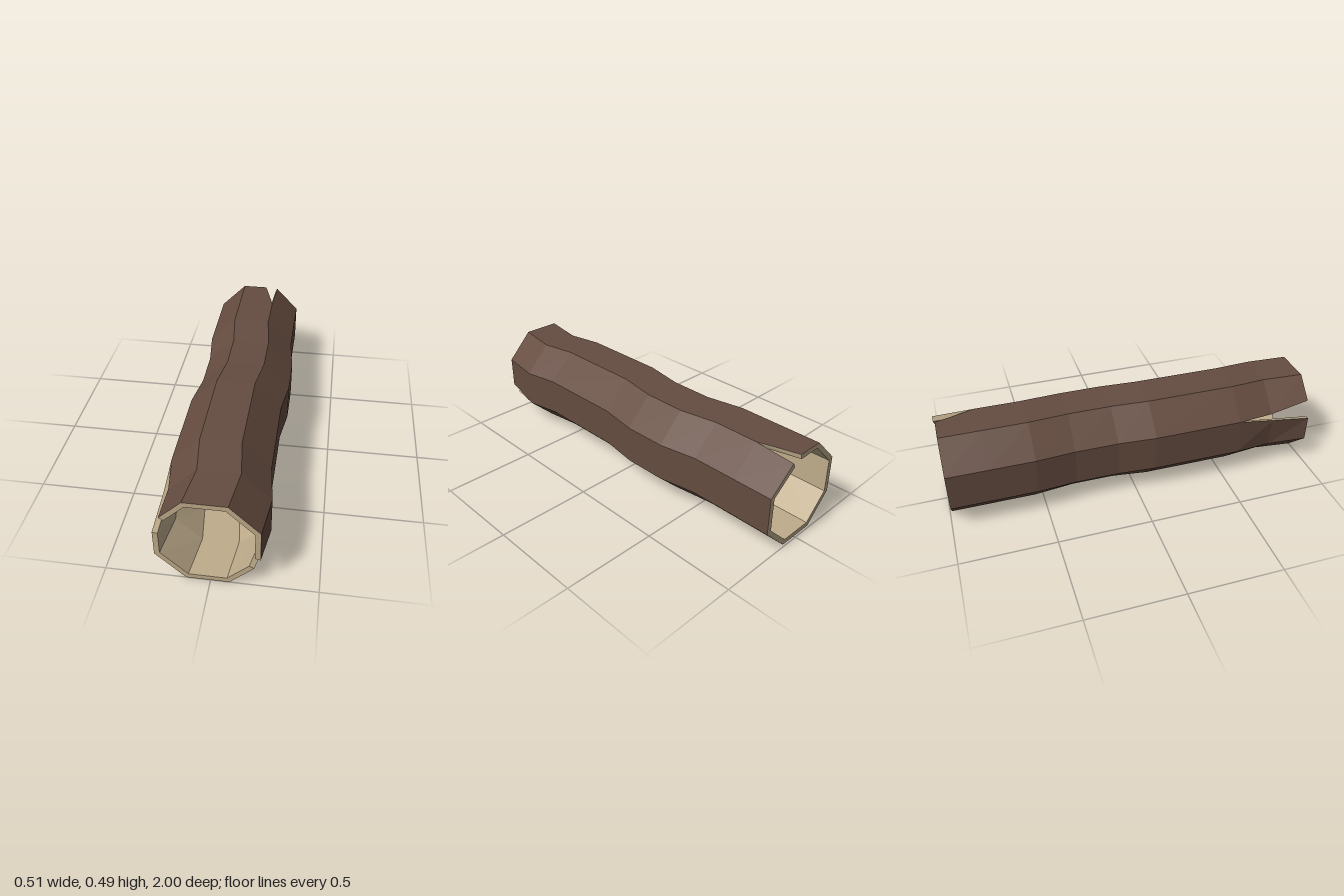
import * as THREE from 'three';

// Stations along the log (front to back) and where the trunk bends sideways
const Z = [1, 0.78, 0.58, 0.1, -0.1, -0.33, -0.54, -0.78, -0.99];
const BEND = [0, 1, 0, 0, 1, 1, 0, 0, 0];
const LAST = Z.length - 1;
const OUTER = 0.263, INNER = 0.235;

// Cracks at three corners: how far each neighbouring wall is drawn back, per station
// start = wall that begins at this corner, end = wall that finishes at it
const CRACKS = {
  7: { spans: [0], start: { 0: 0.16 }, end: { 0: 0.2 } },
  3: { spans: [0, 1], start: { 0: 0.3, 1: 0.15 }, end: { 0: 0.25, 1: 0.02 } },
  1: { spans: [7], start: { 8: 0.3 }, end: { 8: 0.07 } },
};

// Corner k of the octagonal ring at station s
function corner(k, s, radius, straight = false) {
  const a = (k + 0.5) * Math.PI / 4;
  const bend = straight ? 0 : BEND[s];
  const onGround = Math.sin(a) < -0.8;
  return new THREE.Vector3(
    -0.013 + radius * Math.cos(a) + 0.025 * bend,
    0.244 + radius * Math.sin(a) - (onGround ? 0 : 0.009 * bend),
    Z[s]);
}

// Start or end point of wall k, moved along the wall where there is a crack
function wallPoint(k, side, s, radius) {
  const here = (side === 'start' ? k : k + 1) % 8;
  const other = (side === 'start' ? k + 1 : k) % 8;
  const slide = CRACKS[here]?.[side][s] ?? 0;
  const straight = here === 3 && side === 'start' && s === 1;
  const p = corner(here, s, radius, straight).lerp(corner(other, s, radius), slide);
  if (here === 1 && side === 'end' && s === LAST) p.z = -1;
  return p;
}

function quadMesh(name, quads, material) {
  const points = quads.flatMap(([a, b, c, d]) => [a, b, c, a, c, d]);
  const geometry = new THREE.BufferGeometry().setFromPoints(points);
  geometry.computeVertexNormals();
  const mesh = new THREE.Mesh(geometry, material);
  mesh.name = name;
  return mesh;
}

export function createModel() {
  const bark = new THREE.MeshStandardMaterial({ color: 0x654c40, flatShading: true });
  bark.name = 'bark';
  const wood = new THREE.MeshStandardMaterial({ color: 0xbfac8b, flatShading: true });
  wood.name = 'wood';

  const outside = [], inside = [], rims = [], crackFaces = [];
  for (let k = 0; k < 8; k++) {
    const ring = (s) => [
      wallPoint(k, 'start', s, OUTER), wallPoint(k, 'end', s, OUTER),
      wallPoint(k, 'end', s, INNER), wallPoint(k, 'start', s, INNER),
    ];
    // Outer and inner skin of the wall
    for (let s = 0; s < LAST; s++) {
      const [a, b, c, d] = ring(s), [e, f, g, h] = ring(s + 1);
      outside.push([a, e, f, b]);
      inside.push([d, c, g, h]);
      // Bare wood along the crack edges
      if (CRACKS[k]?.spans.includes(s)) crackFaces.push([a, d, h, e]);
      if (CRACKS[(k + 1) % 8]?.spans.includes(s)) crackFaces.push([b, f, g, c]);
    }
    // Sawn ends
    rims.push(ring(0), ring(LAST).reverse());
  }

  const log = new THREE.Group();
  log.name = 'hollowLog';
  log.add(
    quadMesh('barkShell', outside, bark),
    quadMesh('hollowLining', inside, wood),
    quadMesh('endRims', rims, wood),
    quadMesh('crackEdges', crackFaces, wood));
  return log;
}
